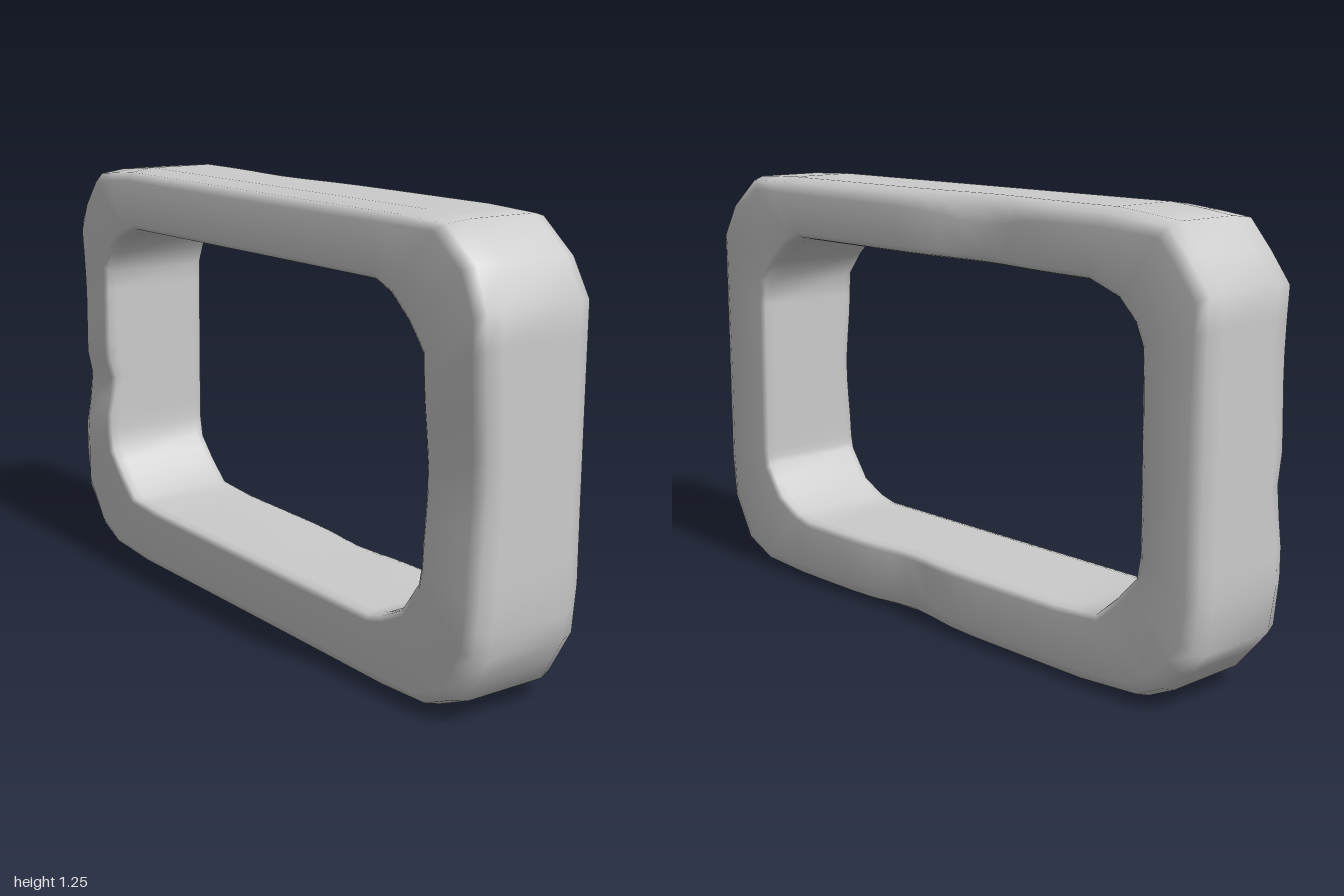
import * as THREE from 'three';

// Stations around the frame, anticlockwise: outer x, outer y, inner x, inner y
const STATIONS = [
  [1, 0.33, 0.77, 0.38], [0.985, 0.19, 0.765, 0.34], [0.91, 0.06, 0.7, 0.25], [0.8, 0.012, 0.62, 0.21],
  [0.62, 0, 0.56, 0.197], [-0.6, 0, -0.5, 0.2], [-0.8, 0.015, -0.65, 0.21], [-0.885, 0.055, -0.72, 0.27],
  [-0.98, 0.17, -0.785, 0.34], [-1, 0.3, -0.795, 0.4], [-1, 1.08, -0.79, 0.92], [-0.94, 1.16, -0.765, 0.98],
  [-0.87, 1.235, -0.71, 1.035], [-0.66, 1.255, -0.61, 1.07], [0.66, 1.255, 0.58, 1.075],
  [0.83, 1.248, 0.64, 1.05], [0.94, 1.16, 0.71, 0.99], [1, 1.06, 0.765, 0.92],
].reverse();

const HALF_DEPTH = 0.18;
const bump = (v, centre, width) => Math.exp(-(((v - centre) / width) ** 2));

// Worn bevels: inset across the bar (w) and along the depth (d), plus a sunken amount
function wear(x, y, front) {
  const top = y > 1.15, bottom = y < 0.1;
  let w = 0.05, d = 0.055, sink = 0;
  if (front) {
    if (top) { w = 0.035; d = 0.1; }
    if (bottom) { w = 0.045; d = 0.06; }
    if (x < -0.85) {
      w += 0.03 * bump(y, 0.9, 0.3) + 0.02 * bump(y, 0.3, 0.12);
      d += 0.05 * bump(y, 0.9, 0.3);
      sink = 0.025 * bump(y, 0.53, 0.08);
    }
    if (x > 0.85) sink = 0.018 * bump(y, 0.65, 0.22);
  } else {
    if (top) { w += 0.03 * bump(x, -0.2, 0.15); sink = 0.025 * bump(x, -0.2, 0.2); }
    if (bottom) { w += 0.03 * bump(x, 0.1, 0.12); sink = 0.02 * bump(x, 0.1, 0.15); }
  }
  return { w, d, sink };
}

// Cross-section: outer side from front to back, then inner side from back to front
function section([ox, oy, ix, iy]) {
  const width = Math.hypot(ox - ix, oy - iy);
  const points = [];
  const add = (inset, z) => {
    const t = inset / width;
    points.push([ox + (ix - ox) * t, oy + (iy - oy) * t, z]);
  };
  const f = wear(ox, oy, true), b = wear(ox, oy, false);
  const zf = HALF_DEPTH - f.sink, zb = -HALF_DEPTH + b.sink;
  const arc = [0, 0.5, 1].map((k) => k * Math.PI / 2);
  const rim = 0.022;
  for (const a of [...arc].reverse()) add(f.w * (1 - Math.cos(a)), zf - f.d * (1 - Math.sin(a)));
  for (const a of arc) add(b.w * (1 - Math.cos(a)), zb + b.d * (1 - Math.sin(a)));
  for (const a of [...arc].reverse()) add(width - rim * (1 - Math.cos(a)), zb + 0.035 * (1 - Math.sin(a)));
  for (const a of arc) add(width - rim * (1 - Math.cos(a)), zf - 0.035 * (1 - Math.sin(a)));
  return points;
}

// Split the long straight bars so the wear can bend them
function sampledStations() {
  const out = [];
  const ring = [...STATIONS].reverse();
  // reorder so the ring runs anticlockwise seen from the front
  ring.reverse();
  ring.forEach((a, i) => {
    const b = ring[(i + 1) % ring.length];
    const steps = Math.max(1, Math.round(Math.hypot(b[0] - a[0], b[1] - a[1]) / 0.09));
    for (let k = 0; k < steps; k++) out.push(a.map((v, j) => v + (b[j] - v) * k / steps));
  });
  return out;
}

function frameGeometry() {
  const loops = sampledStations().map(section);
  const n = loops.length, m = loops[0].length;
  const index = [];
  for (let i = 0; i < n; i++) {
    for (let j = 0; j < m; j++) {
      const i2 = (i + 1) % n, j2 = (j + 1) % m;
      const a = i * m + j, b = i * m + j2, c = i2 * m + j2, d = i2 * m + j;
      index.push(a, b, c, a, c, d);
    }
  }
  const geometry = new THREE.BufferGeometry();
  geometry.setAttribute('position', new THREE.Float32BufferAttribute(loops.flat(2), 3));
  geometry.setIndex(index);
  geometry.computeVertexNormals();
  return geometry;
}

export function createModel() {
  const group = new THREE.Group();
  group.name = 'wornFrame';
  const frame = new THREE.Mesh(frameGeometry(), new THREE.MeshStandardMaterial({ color: 0xcccccc }));
  frame.name = 'frame';
  group.add(frame);
  return group;
}
